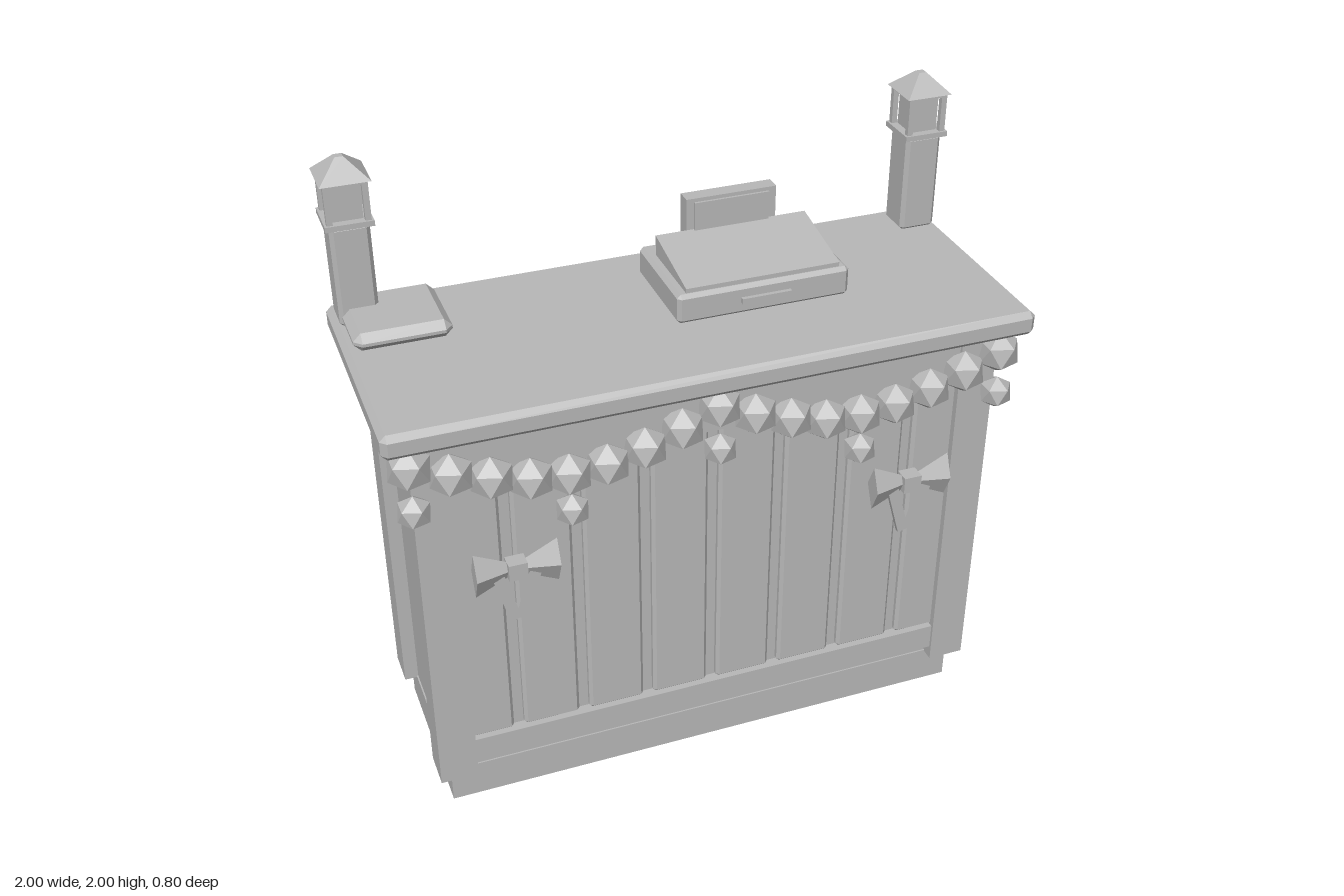
import * as THREE from 'three';
import { ConvexGeometry } from 'three/addons/geometries/ConvexGeometry.js';

const grey = new THREE.MeshStandardMaterial({ color: 0xb8b8b8, flatShading: true });
grey.name = 'plain grey';

function add(parent, name, geometry, x = 0, y = 0, z = 0) {
  const mesh = new THREE.Mesh(geometry, grey);
  mesh.name = name;
  mesh.position.set(x, y, z);
  parent.add(mesh);
  return mesh;
}

// Box given by its limits on each axis
function box(parent, name, [x0, x1], [y0, y1], [z0, z1]) {
  return add(parent, name, new THREE.BoxGeometry(x1 - x0, y1 - y0, z1 - z0),
    (x0 + x1) / 2, (y0 + y1) / 2, (z0 + z1) / 2);
}

// Box with chamfered edges
function chamferBox(parent, name, [x0, x1], [y0, y1], [z0, z1], c) {
  const h = [(x1 - x0) / 2, (y1 - y0) / 2, (z1 - z0) / 2];
  const points = [];
  for (const sx of [-1, 1]) for (const sy of [-1, 1]) for (const sz of [-1, 1])
    for (let axis = 0; axis < 3; axis++) {
      const s = h.map((v, i) => (i === axis ? v : v - c));
      points.push(new THREE.Vector3(sx * s[0], sy * s[1], sz * s[2]));
    }
  return add(parent, name, new ConvexGeometry(points), (x0 + x1) / 2, (y0 + y1) / 2, (z0 + z1) / 2);
}

function group(parent, name, x = 0, y = 0, z = 0) {
  const g = new THREE.Group();
  g.name = name;
  g.position.set(x, y, z);
  parent.add(g);
  return g;
}

function buildCabinet(model) {
  const g = group(model, 'cabinet');
  box(g, 'plinth', [-0.88, 0.88], [0, 0.125], [-0.28, 0.28]);
  box(g, 'body', [-0.875, 0.875], [0.12, 1.41], [-0.275, 0.275]);
  for (const sx of [-1, 1]) for (const sz of [-1, 1]) {
    add(g, 'cornerPost', new THREE.BoxGeometry(0.12, 1.29, 0.12), sx * 0.86, 0.765, sz * 0.26);
  }
  // Front panelling
  box(g, 'bottomRail', [-0.81, 0.81], [0.165, 0.255], [0.26, 0.31]);
  box(g, 'topRail', [-0.81, 0.81], [1.235, 1.37], [0.26, 0.31]);
  for (let i = 0; i < 8; i++) {
    const x = (i - 3.5) * 0.2165;
    chamferBox(g, 'frontPlank', [x - 0.091, x + 0.091], [0.255, 1.24], [0.26, 0.298], 0.01);
  }
  box(g, 'backBar', [-0.73, 0.73], [0.98, 1.03], [-0.33, -0.27]);
  chamferBox(g, 'countertop', [-1, 1], [1.405, 1.485], [-0.4, 0.4], 0.018);
}

function buildLampPost(model, side) {
  const g = group(model, 'lampPost', side * 0.92, 0, -0.3);
  chamferBox(g, 'post', [-0.06, 0.06], [1.48, 1.805], [-0.06, 0.06], 0.012);
  box(g, 'lanternBase', [-0.072, 0.072], [1.8, 1.817], [-0.072, 0.072]);
  box(g, 'lanternGlass', [-0.045, 0.045], [1.81, 1.94], [-0.045, 0.045]);
  for (const sx of [-1, 1]) for (const sz of [-1, 1]) {
    add(g, 'lanternCorner', new THREE.BoxGeometry(0.018, 0.13, 0.018), sx * 0.056, 1.875, sz * 0.056);
  }
  box(g, 'lanternTop', [-0.065, 0.065], [1.93, 1.943], [-0.065, 0.065]);
  const roof = new THREE.CylinderGeometry(0.012 * Math.SQRT2, 0.075 * Math.SQRT2, 0.06, 4);
  roof.rotateY(Math.PI / 4);
  add(g, 'lanternRoof', roof, 0, 1.97, 0);
}

function buildRegister(model) {
  const g = group(model, 'cashRegister');
  chamferBox(g, 'registerBase', [-0.04, 0.515], [1.482, 1.578], [-0.26, 0.095], 0.012);
  box(g, 'drawerHandle', [0.16, 0.32], [1.523, 1.54], [0.08, 0.108]);
  // Sloping top, drawn side-on and extruded across
  const side = new THREE.Shape([[0.08, 1.57], [0.08, 1.592], [-0.185, 1.643], [-0.185, 1.57]]
    .map(([z, y]) => new THREE.Vector2(-z, y)));
  const wedge = new THREE.ExtrudeGeometry(side, { depth: 0.495, bevelEnabled: false });
  wedge.rotateY(Math.PI / 2);
  add(g, 'slopingTop', wedge, -0.01, 0, 0);
  box(g, 'display', [0.09, 0.385], [1.575, 1.745], [-0.235, -0.185]);
  box(g, 'displayScreen', [0.115, 0.36], [1.59, 1.733], [-0.19, -0.177]);
}

function buildGarland(model) {
  const g = group(model, 'garland');
  // Ball with one corner pointing straight up
  const ball = (radius) => new THREE.IcosahedronGeometry(radius).rotateZ(-Math.atan(2 / (1 + Math.sqrt(5))));
  const large = ball(0.07);
  const small = ball(0.054);
  const heights = [1.33, 1.28, 1.24, 1.21, 1.203, 1.215, 1.245, 1.282, 1.33];
  for (let i = -8; i <= 8; i++) {
    add(g, 'garlandBall', large, i * 0.115, heights[Math.abs(i)], 0.33);
  }
  for (const [x, y] of [[-0.92, 1.19], [-0.46, 1.085], [0, 1.19], [0.46, 1.085], [0.92, 1.19]]) {
    add(g, 'hangingBall', small, x, y, 0.342);
  }
}

function buildBow(model, side) {
  const g = group(model, 'bow', side * 0.64, 0.925, 0.35);
  for (const s of [-1, 1]) {
    // Loop: a flattened four-sided cone with its tip at the knot
    const loop = new THREE.CylinderGeometry(0.018, 0.077, 0.12, 4);
    loop.rotateZ(s * Math.PI / 2);
    loop.scale(1, 1, 0.46);
    add(g, 'bowLoop', loop, s * 0.067, 0, 0);
    const tail = add(g, 'bowTail', new THREE.BoxGeometry(0.036, 0.175, 0.016), s * 0.035, -0.1, 0);
    tail.rotation.z = -s * 0.27;
  }
  add(g, 'bowKnot', new THREE.BoxGeometry(0.058, 0.056, 0.05), 0, 0, 0);
}

export function createModel() {
  const model = new THREE.Group();
  model.name = 'festiveCounter';
  buildCabinet(model);
  buildRegister(model);
  buildGarland(model);
  for (const side of [-1, 1]) {
    buildLampPost(model, side);
    buildBow(model, side);
  }
  // Low tray beside the lamp post
  chamferBox(model, 'tray', [-0.972, -0.678], [1.482, 1.54], [-0.342, -0.062], 0.024);
  return model;
}
